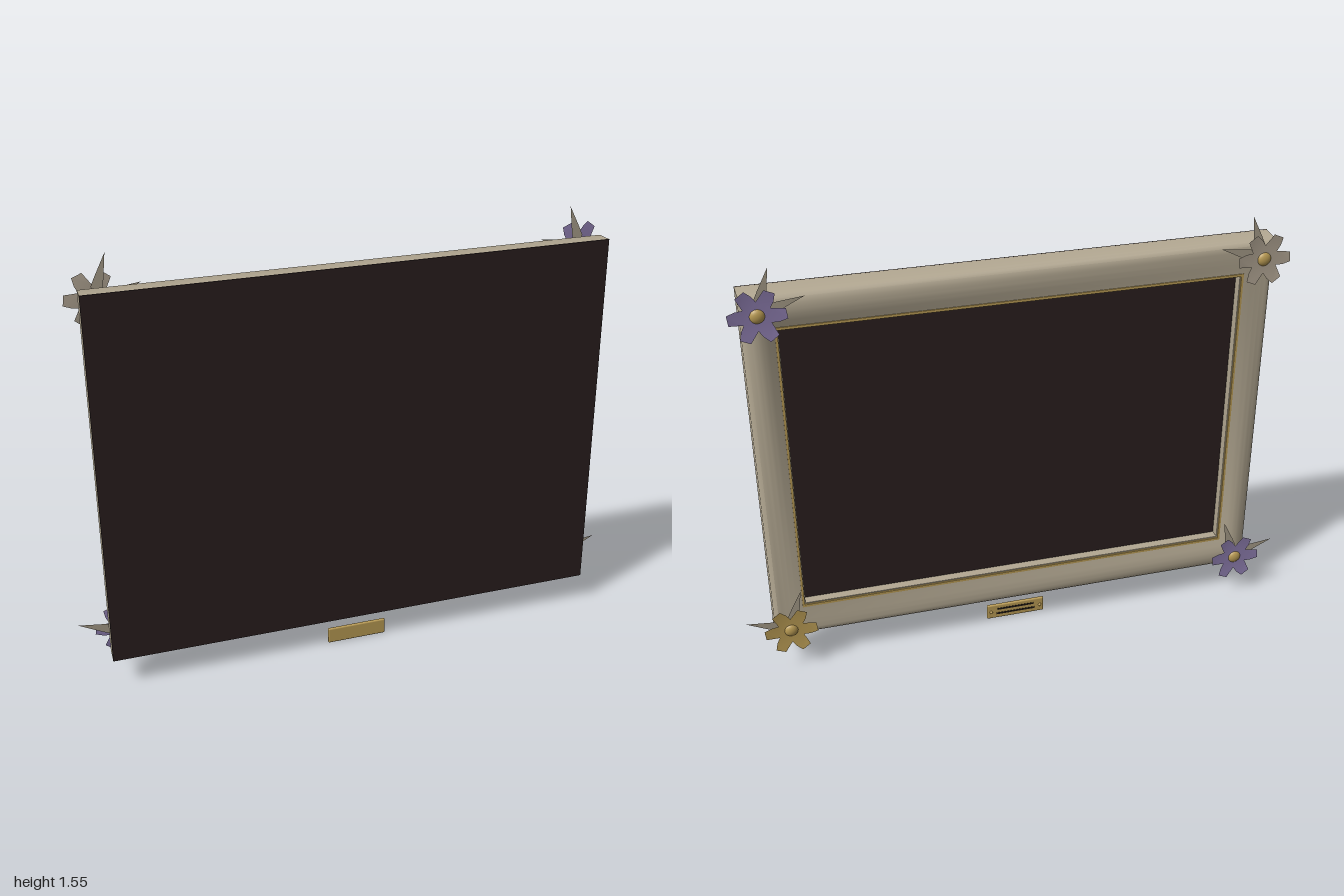
import * as THREE from 'three';
import { toCreasedNormals } from 'three/addons/utils/BufferGeometryUtils.js';
import { RoundedBoxGeometry } from 'three/addons/geometries/RoundedBoxGeometry.js';

const W = 0.9, H = 0.67, CY = 0.78; // frame half width, half height, centre height
const RAIL = 1.14; // top and bottom rails are a little wider than the sides

function mat(name, color, side = THREE.FrontSide) {
  const m = new THREE.MeshStandardMaterial({ color, side });
  m.name = name;
  return m;
}

function add(parent, name, geometry, material, x = 0, y = 0, z = 0) {
  const mesh = new THREE.Mesh(geometry, material);
  mesh.name = name;
  mesh.position.set(x, y, z);
  parent.add(mesh);
  return mesh;
}

// Moulding: a profile of [inset, z] swept round a mitred rectangle
function mouldingGeometry(profile) {
  const corners = [[1, 1], [-1, 1], [-1, -1], [1, -1]];
  const pos = [];
  const point = (c, [inset, z]) => [c[0] * (W - inset), c[1] * (H - inset * RAIL), z];
  for (let i = 0; i < 4; i++) {
    const c = corners[i], d = corners[(i + 1) % 4];
    for (let j = 0; j < profile.length - 1; j++) {
      const a = point(c, profile[j]), b = point(c, profile[j + 1]);
      const e = point(d, profile[j]), f = point(d, profile[j + 1]);
      pos.push(...a, ...b, ...e, ...b, ...f, ...e);
    }
  }
  const g = new THREE.BufferGeometry();
  g.setAttribute('position', new THREE.Float32BufferAttribute(pos, 3));
  g.computeVertexNormals();
  return toCreasedNormals(g, 0.6);
}

// Thin flat rectangle ring
function ringGeometry(outer, inner, depth) {
  const rect = (p, inset) => {
    const w = W - inset, h = H - inset * RAIL;
    p.moveTo(-w, -h).lineTo(w, -h).lineTo(w, h).lineTo(-w, h).closePath();
    return p;
  };
  const shape = rect(new THREE.Shape(), outer);
  shape.holes.push(rect(new THREE.Path(), inner));
  return new THREE.ExtrudeGeometry(shape, { depth, bevelEnabled: false });
}

// Six broad, blunt petals, cupped slightly forward
function petalGeometry() {
  const pts = [];
  for (let k = 0; k < 6; k++) {
    for (const [r, a] of [[0.05, -30], [0.07, -19], [0.092, -13], [0.095, 9], [0.072, 19]]) {
      const t = THREE.MathUtils.degToRad(k * 60 + a);
      pts.push(new THREE.Vector2(r * Math.cos(t), r * Math.sin(t)));
    }
  }
  const g = new THREE.ShapeGeometry(new THREE.Shape(pts));
  const p = g.attributes.position;
  for (let i = 0; i < p.count; i++) p.setZ(i, -0.12 * Math.hypot(p.getX(i), p.getY(i)));
  g.computeVertexNormals();
  return g;
}

// Pointed leaf along +x, tipped slightly forward
function leafGeometry() {
  const s = new THREE.Shape();
  s.moveTo(0, 0).lineTo(0.045, 0.019).lineTo(0.075, 0.015).lineTo(0.16, 0)
    .lineTo(0.075, -0.015).lineTo(0.045, -0.019).closePath();
  return new THREE.ShapeGeometry(s).rotateY(0.02);
}

export function createModel() {
  const model = new THREE.Group();
  model.name = 'pictureFrame';

  const stone = mat('stone', 0xb3a892);
  const dark = mat('darkPanel', 0x291e1e);
  const gold = mat('gold', 0xb99b54, THREE.DoubleSide);
  const ink = mat('ink', 0x1c1612);
  const purplePetal = mat('purplePetal', 0x8979a9, THREE.DoubleSide);
  const greyPetal = mat('greyPetal', 0xaca08f, THREE.DoubleSide);
  const leaf = mat('leaf', 0xa59b88, THREE.DoubleSide);

  // Moulded frame, backing and recessed picture panel
  const profile = [
    [0, 0.064], [0.002, 0.002], [0.007, -0.01], [0.017, -0.02], [0.031, -0.026],
    [0.048, -0.029], [0.066, -0.027], [0.084, -0.021], [0.1, -0.014],
    [0.117, -0.008], [0.117, 0.03],
  ];
  add(model, 'moulding', mouldingGeometry(profile), stone, 0, CY, 0);
  add(model, 'goldTrim', ringGeometry(0.106, 0.114, 0.008), gold, 0, CY, -0.015);
  add(model, 'backing', new THREE.BoxGeometry(2 * W, 2 * H, 0.004), dark, 0, CY, 0.063);
  add(model, 'picturePanel', new THREE.BoxGeometry(2 * W - 0.22, 2 * H - 0.25, 0.01), dark, 0, CY, 0.03);

  // Corner flowers, each with two leaves
  const petals = petalGeometry(), leafShape = leafGeometry();
  const button = new THREE.SphereGeometry(0.025, 20, 14);
  const flowers = [
    [1, 1.393, purplePetal, [107, 163]],
    [-1, 1.393, greyPetal, [107, 163]],
    [1, 0.167, gold, [17, 107]],
    [-1, 0.167, purplePetal, [17, 107]],
  ];
  for (const [side, y, material, angles] of flowers) {
    const flower = new THREE.Group();
    flower.name = 'cornerFlower';
    flower.position.set(side * 0.845, y, -0.035);
    add(flower, 'petals', petals, material, 0, 0, -0.012);
    add(flower, 'flowerCentre', button, gold, 0, 0, -0.014).scale.z = 0.6;
    for (const angle of angles) {
      const a = side > 0 ? angle : 180 - angle;
      add(flower, 'leaf', leafShape, leaf).rotation.z = THREE.MathUtils.degToRad(a);
    }
    model.add(flower);
  }

  // Small plaque hanging below, with engraved bars and rivets
  const plaque = new THREE.Group();
  plaque.name = 'plaque';
  plaque.position.set(0, 0.03, 0.036);
  add(plaque, 'plate', new RoundedBoxGeometry(0.22, 0.06, 0.012, 3, 0.005), gold);
  for (const [y, w] of [[0.011, 0.14], [-0.009, 0.15]]) {
    add(plaque, 'engravedBar', new THREE.BoxGeometry(w, 0.007, 0.002), ink, 0, y, -0.0065);
  }
  for (const x of [-0.095, 0.095]) {
    add(plaque, 'rivet', new THREE.SphereGeometry(0.006, 12, 8), gold, x, 0, -0.007);
  }
  model.add(plaque);

  return model;
}
